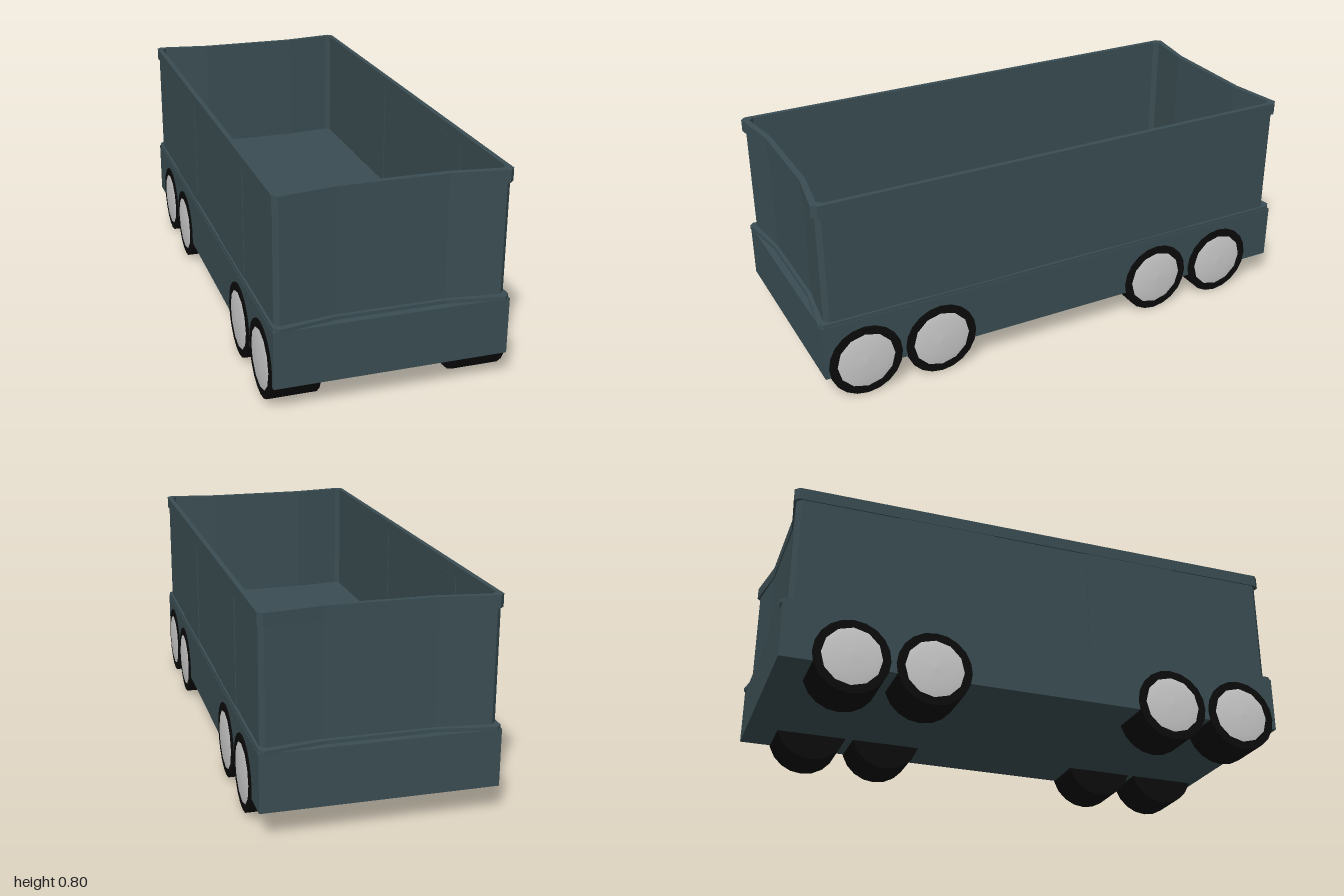
import * as THREE from 'three';

const paint = new THREE.MeshStandardMaterial({ color: 0x3a4d52, flatShading: true });
const rubber = new THREE.MeshStandardMaterial({ color: 0x0b0b0b, flatShading: true });
const grey = new THREE.MeshStandardMaterial({ color: 0xcccccc });

// Plan outline: long box with clipped corners and dished-in ends (shape y is z)
function plan(hx, front, back, dish) {
  const c = 0.018;
  return [
    [hx, front - c], [hx - c, front], [0.2, front - dish], [-0.2, front - dish], [c - hx, front], [-hx, front - c],
    [-hx, back + c], [c - hx, back], [-0.2, back + dish], [0.2, back + dish], [hx - c, back], [hx, back + c],
  ].map(([x, z]) => new THREE.Vector2(x, z));
}

// Upright slab or ring from a plan outline
function slab(outer, inner, y0, y1) {
  const shape = new THREE.Shape(outer);
  if (inner) shape.holes.push(new THREE.Path(inner));
  const g = new THREE.ExtrudeGeometry(shape, { depth: y1 - y0, bevelEnabled: false });
  return g.rotateX(Math.PI / 2).translate(0, y1, 0);
}

export function createModel() {
  const model = new THREE.Group();
  model.name = 'openWagon';
  const add = (name, geometry, material, parent = model) => {
    const mesh = new THREE.Mesh(geometry, material);
    mesh.name = name;
    parent.add(mesh);
    return mesh;
  };

  // Chassis with straight ends, topped by a ledge that is also the floor
  add('chassis', new THREE.BoxGeometry(0.862, 0.215, 1.975).translate(0, 0.2125, 0), paint);
  add('floorLedge', slab(plan(0.429, 0.995, -0.995, 0.035), null, 0.318, 0.333), paint);

  // Thin tub walls and the rim around their top
  add('walls', slab(plan(0.42, 0.97, -0.967, 0.025), plan(0.408, 0.957, -0.954, 0.025), 0.333, 0.77), paint);
  add('rim', slab(plan(0.425, 0.983, -0.978, 0.032), plan(0.406, 0.955, -0.952, 0.027), 0.753, 0.8), paint);

  // Slightly raised second and fourth panels on each long side
  for (const side of [1, -1]) {
    for (const z of [0.385, -0.385]) {
      add('sidePanel', new THREE.BoxGeometry(0.018, 0.422, 0.385).translate(side * 0.414, 0.543, z), paint);
    }
  }

  // Wheels in pairs, each a wide tyre with a domed hub disc on the outside
  const tyre = new THREE.CylinderGeometry(0.1425, 0.1425, 0.18, 20).rotateZ(-Math.PI / 2);
  const profile = [[0.112, 0], [0.09, 0.004], [0.05, 0.007], [0, 0.009]].map(([r, y]) => new THREE.Vector2(r, y));
  const hub = new THREE.LatheGeometry(profile, 12).rotateZ(-Math.PI / 2).translate(0.091, 0, 0);
  for (const side of [1, -1]) {
    for (const z of [0.83, 0.53, -0.425, -0.73]) {
      const wheel = new THREE.Group();
      wheel.name = 'wheel';
      add('tyre', tyre, rubber, wheel);
      add('hub', hub, grey, wheel);
      wheel.position.set(side * 0.345, 0.1425, z);
      wheel.rotation.y = side > 0 ? 0 : Math.PI;
      model.add(wheel);
    }
  }
  return model;
}
